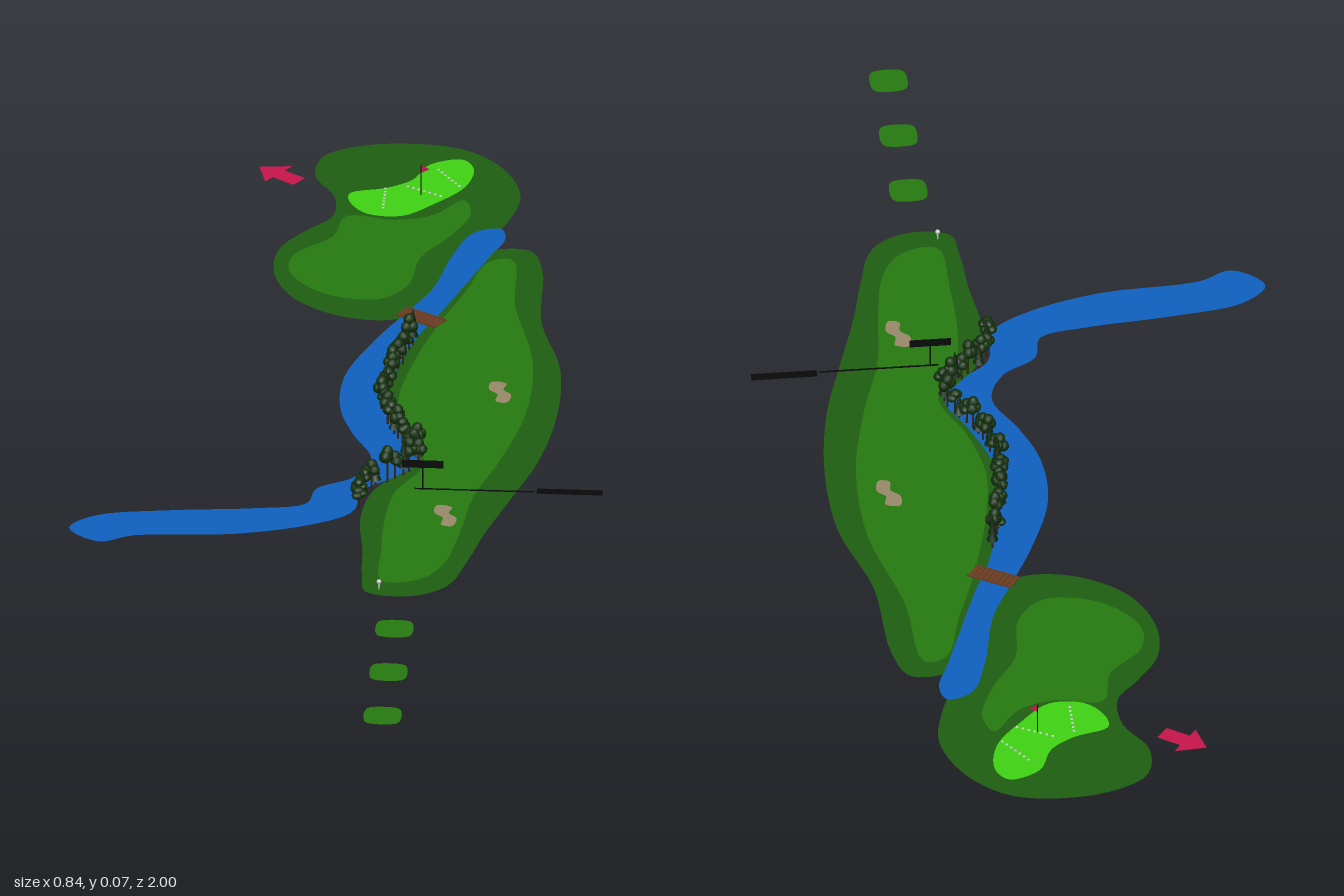
import * as THREE from 'three';

const S = 0.01; // outlines are written in hundredths of a unit, as x, z pairs

const mat = (color) => new THREE.MeshStandardMaterial({ color, side: THREE.DoubleSide });
const M = {
  rough: mat(0x1f5f12), fairway: mat(0x267a10), green: mat(0x3fd413), water: mat(0x0f60bf),
  sand: mat(0x9a8a6a), wood: mat(0x6b3d22), bark: mat(0x3a2614), leaf: mat(0x12300c),
  pine: mat(0x0d260c), red: mat(0xc8154c), white: mat(0xeeeeee), black: mat(0x080808),
};

function add(parent, name, geometry, material, x = 0, y = 0, z = 0) {
  const mesh = new THREE.Mesh(geometry, material);
  mesh.name = name;
  mesh.position.set(x, y, z);
  parent.add(mesh);
  return mesh;
}

// Flat sheet lying on the ground, its outline optionally smoothed
function sheet(parent, name, coords, material, y, smooth = true) {
  let pts = [];
  for (let i = 0; i < coords.length; i += 2) pts.push(new THREE.Vector3(coords[i] * S, -coords[i + 1] * S, 0));
  if (smooth) pts = new THREE.CatmullRomCurve3(pts, true, 'centripetal').getPoints(pts.length * 5).slice(0, -1);
  const geometry = new THREE.ShapeGeometry(new THREE.Shape(pts.map((p) => new THREE.Vector2(p.x, p.y))));
  return add(parent, name, geometry.rotateX(-Math.PI / 2), material, 0, y, 0);
}

function seeded(seed) {
  return () => (seed = (seed * 16807) % 2147483647) / 2147483647;
}

// Broad tree: trunk under a few flattened clumps of leaves
function broadTree(height, rand) {
  const tree = new THREE.Group();
  add(tree, 'trunk', new THREE.CylinderGeometry(0.0012, 0.002, height * 0.75, 5), M.bark, 0, height * 0.375, 0);
  const clump = new THREE.IcosahedronGeometry(1, 1);
  for (let i = 0; i < 4; i++) {
    const a = i * 1.57 + rand();
    const r = i === 3 ? 0 : 0.006;
    const y = height * (i === 3 ? 0.84 : 0.62 + 0.1 * rand());
    const leaf = add(tree, 'leafClump', clump, M.leaf, Math.cos(a) * r, y, Math.sin(a) * r);
    leaf.scale.set(0.009, height * 0.16, 0.009);
  }
  return tree;
}

// Narrow tree: trunk with stacked tapering tiers
function narrowTree(height) {
  const tree = new THREE.Group();
  add(tree, 'trunk', new THREE.CylinderGeometry(0.001, 0.002, height * 0.5, 5), M.bark, 0, height * 0.25, 0);
  for (let i = 0; i < 3; i++) {
    const tier = new THREE.ConeGeometry(0.0095 - i * 0.002, height * 0.36, 8);
    add(tree, 'leafTier', tier, M.pine, 0, height * (0.42 + i * 0.2), 0);
  }
  return tree;
}

export function createModel() {
  const course = new THREE.Group();
  course.name = 'golfHole';

  // Ground sheets
  sheet(course, 'greenRough', [
    3, -100, 12.5, -98.5, 19, -92.5, 22.5, -83, 21, -74, 18, -66, 16.5, -58, 13.5, -49, 8, -41, 3, -39,
    -4.5, -40.5, -11.5, -46, -15, -54.5, -14.5, -63, -10.5, -69.5, -7, -74, -7, -81, -10.5, -88, -9.5, -95, -4.5, -98.5,
  ], M.rough, 0);
  sheet(course, 'mainRough', [
    18, -63.5, 25, -64.5, 27.5, -58, 28.5, -40, 32.5, -24, 33, -8, 31, 8, 27.5, 21, 24, 33.5, 22, 42.5, 19, 52,
    13.5, 55.5, 6.5, 54.5, 5.5, 49, 5, 40, 4, 29, 5.5, 19.5, 9.5, 13, 11.5, 9, 8, 1.5, 5.5, -10.5, 7, -24, 9.5, -37, 13.5, -50,
  ], M.rough, 0);
  sheet(course, 'creek', [
    -42, 35.5, -38, 31, -26, 28.5, -13, 27, -5, 25, -3.5, 19.5, 2, 15.5, 4.5, 9, 1, 0.5, -1.5, -8, -1.5, -19.5,
    2.5, -32, 6.5, -41, 10.5, -50, 13, -62, 16, -70, 20, -71.5, 21, -68, 19, -62, 16, -53, 12.5, -42.5, 9.5, -34.5,
    6.5, -21, 6, -9, 9, 1.5, 12, 9.5, 8, 15.5, 4, 19.5, 2.5, 27.5, -3.5, 32, -15.5, 36, -31.5, 37.5, -37, 40,
  ], M.water, 0.001);
  sheet(course, 'greenFairway', [
    -4.5, -74.5, 3, -73.5, 9, -75.5, 13.5, -81, 15, -76.5, 12.5, -69, 8, -61, 6.5, -51, 2, -46, -6.5, -47.5,
    -12.5, -54.5, -12, -61, -6.5, -67,
  ], M.fairway, 0.001);
  sheet(course, 'mainFairway', [
    19, -60, 22.5, -61, 24, -45, 28, -26, 28, -8, 25, 8, 21.5, 21, 20, 34.5, 18, 45, 14.5, 50, 9, 51, 8, 40,
    8, 28, 9, 20, 13, 10, 9.5, 0, 7.5, -11, 9, -24, 12, -37, 16, -50,
  ], M.fairway, 0.0015);
  sheet(course, 'puttingGreen', [
    -4.5, -82, 1, -84, 5, -87, 7.5, -92.5, 12.5, -94.5, 14.5, -91.5, 13.5, -85, 9, -79, 4, -74.5, -1.5, -75, -4.5, -79,
  ], M.green, 0.003);

  // Sand bunkers
  for (const [x, z] of [[23.5, -15], [17.5, 28]]) {
    const outline = [-1.5, -3.5, 0.8, -3, 0.5, -0.8, 1.8, 0.8, 1.2, 3.6, -0.5, 3.2, -0.4, 0.8, -1.8, -0.8];
    sheet(course, 'bunker', outline.map((v, i) => v + (i % 2 ? z : x)), M.sand, 0.003);
  }

  // Three tee pads in a row
  for (const z of [67, 82, 97]) {
    const pad = [-2, -2.8, 2, -2.8, 2.8, -2, 2.8, 2, 2, 2.8, -2, 2.8, -2.8, 2, -2.8, -2];
    sheet(course, 'teePad', pad.map((v, i) => v + (i % 2 ? z : 11.8)), M.fairway, 0.001);
  }

  // Plank bridge over the creek
  const bridge = new THREE.Group();
  bridge.name = 'bridge';
  bridge.position.set(0.093, 0.004, -0.395);
  bridge.rotation.y = -0.55;
  for (let i = 0; i < 9; i++) {
    add(bridge, 'plank', new THREE.BoxGeometry(0.0075, 0.002, 0.03), M.wood, (i - 4) * 0.0085, 0, 0);
  }
  for (const side of [-1, 1]) {
    add(bridge, 'edgeBeam', new THREE.BoxGeometry(0.078, 0.003, 0.002), M.wood, 0, 0.001, side * 0.015);
  }
  course.add(bridge);

  // Trees along the creek bank
  const rand = seeded(11);
  const bank = new THREE.CatmullRomCurve3([
    [3.5, 26], [4.5, 20], [9, 14.5], [12, 10.5], [10.5, 6], [8, 1], [6, -5], [5.3, -11], [6, -18], [7.5, -26], [8.5, -31],
  ].map(([x, z]) => new THREE.Vector3(x * S, 0, z * S)));
  const count = 36;
  for (let i = 0; i < count; i++) {
    const height = 0.04 + 0.027 * rand();
    const tree = i % 3 === 2 ? narrowTree(height) : broadTree(height, rand);
    tree.name = 'tree';
    tree.position.copy(bank.getPointAt(i / (count - 1)));
    tree.position.x += (rand() - 0.5) * 0.008;
    tree.rotation.y = rand() * 6;
    course.add(tree);
  }

  // Flag on the green
  add(course, 'flagPole', new THREE.CylinderGeometry(0.001, 0.001, 0.056, 6), M.black, 0.067, 0.028, -0.82);
  const flag = new THREE.Shape([[0, 0], [0.014, 0.007], [0, 0.014]].map(([x, y]) => new THREE.Vector2(x, y)));
  add(course, 'flag', new THREE.ShapeGeometry(flag), M.red, 0.067, 0.042, -0.82);

  // Dotted slope lines on the green
  for (const [x, z, dx, dz] of [[0.01, -0.83, 0, 0.011], [0.09, -0.9, 0.006, 0.009], [0.045, -0.84, 0.009, 0.005]]) {
    for (let i = 0; i < 7; i++) {
      add(course, 'slopeDot', new THREE.BoxGeometry(0.004, 0.001, 0.004), M.white, x + dx * i, 0.007, z + dz * i);
    }
  }

  // Direction arrow beside the green, pointing away to the back right
  const arrow = sheet(course, 'directionArrow',
    [0, -4, 3.4, 0, 1.5, 0, 1.5, 4.2, -1.5, 4.2, -1.5, 0, -3.4, 0], M.red, 0.006, false);
  arrow.position.set(-0.163, 0.006, -0.872);
  arrow.rotation.y = 0.95;

  // Distance marker: ground line, post and blank plates
  add(course, 'distanceLine', new THREE.BoxGeometry(0.19, 0.001, 0.003), M.black, 0.215, 0.003, 0.19);
  add(course, 'distancePlate', new THREE.BoxGeometry(0.105, 0.001, 0.016), M.black, 0.367, 0.003, 0.187);
  add(course, 'markerPost', new THREE.CylinderGeometry(0.001, 0.001, 0.04, 6), M.black, 0.133, 0.02, 0.19);
  add(course, 'markerPlate', new THREE.BoxGeometry(0.066, 0.013, 0.001), M.black, 0.133, 0.047, 0.19);

  // Ball and tee markers at the near end
  add(course, 'ball', new THREE.SphereGeometry(0.004, 10, 8), M.white, 0.085, 0.014, 0.535);
  add(course, 'ballPeg', new THREE.CylinderGeometry(0.002, 0.001, 0.011, 6), M.white, 0.085, 0.0055, 0.535);
  return course;
}
